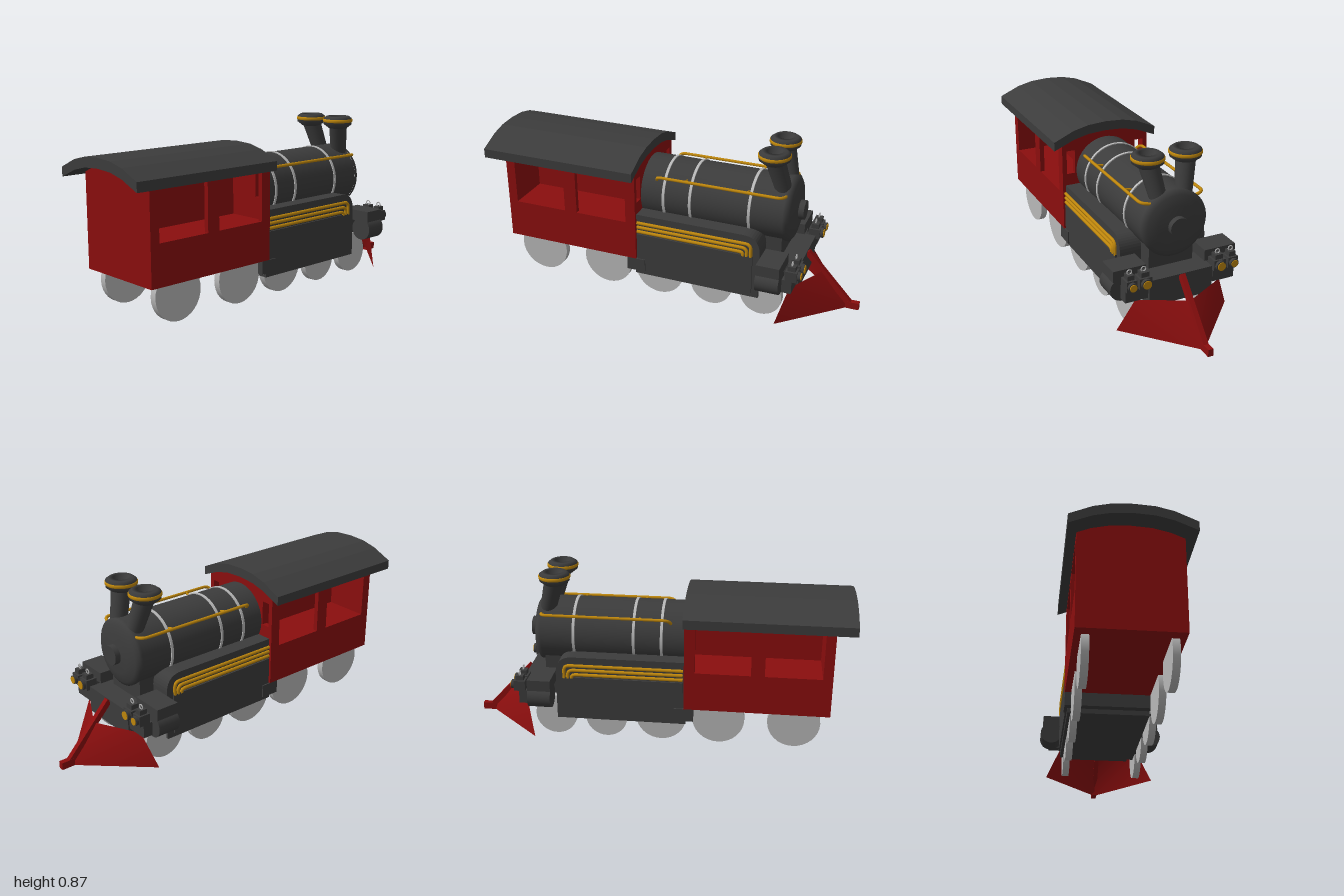
import * as THREE from 'three';

const mat = (name, color) => Object.assign(new THREE.MeshStandardMaterial({ color }), { name });

export function createModel() {
  const root = new THREE.Group();
  root.name = 'steamLocomotive';
  const red = mat('deepRed', 0x8b0e0e);
  const iron = mat('darkIron', 0x3c3c3c);
  const gold = mat('brass', 0xbf870c);
  const silver = mat('lightSteel', 0xb8b8b8);
  const redSheet = mat('redSheet', 0x8b0e0e);
  redSheet.side = THREE.DoubleSide;

  const add = (name, geo, m) => {
    const mesh = new THREE.Mesh(geo, m);
    mesh.name = name;
    root.add(mesh);
    return mesh;
  };
  // box given by its minimum and maximum corners
  const box = (name, m, x0, x1, y0, y1, z0, z1) => {
    const b = add(name, new THREE.BoxGeometry(x1 - x0, y1 - y0, z1 - z0), m);
    b.position.set((x0 + x1) / 2, (y0 + y1) / 2, (z0 + z1) / 2);
    return b;
  };
  // the same box on both sides
  const boxPair = (name, m, x0, x1, ...r) => {
    box(name, m, x0, x1, ...r);
    box(name, m, -x1, -x0, ...r);
  };
  // cylinder along z
  const cylZ = (name, m, r, x, y, z0, z1, seg = 32) => {
    const c = add(name, new THREE.CylinderGeometry(r, r, z1 - z0, seg).rotateX(Math.PI / 2), m);
    c.position.set(x, y, (z0 + z1) / 2);
    return c;
  };
  // rod between two points
  const rod = (name, m, a, b, r0, r1 = r0, seg = 16) => {
    const p = new THREE.Vector3(...a), q = new THREE.Vector3(...b), d = q.clone().sub(p);
    const c = add(name, new THREE.CylinderGeometry(r1, r0, d.length(), seg), m);
    c.position.copy(p).lerp(q, 0.5);
    c.quaternion.setFromUnitVectors(new THREE.Vector3(0, 1, 0), d.normalize());
    return c;
  };
  const extrude = (shape, depth) =>
    new THREE.ExtrudeGeometry(shape, { depth, bevelEnabled: false, curveSegments: 10 });
  const pts = (list) => list.map(([x, y]) => new THREE.Vector2(x, y));
  const mirrored = (half) => [...half, ...half.slice(0, -1).reverse().map(([x, y]) => [-x, y])];

  // cab walls: arched end panels, open sides and a central partition
  const arch = [[0.25, 0.685], [0.185, 0.71], [0.1, 0.73], [0, 0.736]];
  const endWall = () => new THREE.Shape(pts([[-0.25, 0.2], [0.25, 0.2], ...mirrored(arch)]));
  add('cabRearWall', extrude(endWall(), 0.05).translate(0, 0, 0.85), red);
  const front = endWall();
  for (const s of [-1, 1]) {
    front.holes.push(new THREE.Path(pts([
      [s * 0.178, 0.52], [s * 0.178, 0.65], [s * 0.225, 0.65], [s * 0.225, 0.52]])));
  }
  add('cabFrontWall', extrude(front, 0.03).translate(0, 0, 0.15), red);
  box('cabBase', red, -0.25, 0.25, 0.2, 0.408, 0.15, 0.9);
  box('cabPartition', red, -0.012, 0.012, 0.4, 0.73, 0.16, 0.88);
  boxPair('cabFrontPost', red, 0.225, 0.25, 0.4, 0.685, 0.15, 0.205);
  boxPair('cabMiddlePost', red, 0.225, 0.25, 0.4, 0.685, 0.49, 0.56);
  boxPair('cabWindowHeader', red, 0.225, 0.25, 0.668, 0.686, 0.16, 0.88);

  // cab roof
  const top = [[0.295, 0.712], [0.185, 0.76], [0.1, 0.78], [0, 0.786]];
  const under = [[0.295, 0.664], [0.185, 0.71], [0.1, 0.73], [0, 0.736]];
  const roof = new THREE.Shape(pts([...mirrored(top), ...mirrored(under).reverse()]));
  add('cabRoof', extrude(roof, 0.855).translate(0, 0, 0.145), iron);

  // boiler, smokebox front and door
  cylZ('boiler', iron, 0.17, 0, 0.53, -0.61, 0.16, 48);
  const door = pts([[0.172, 0], [0.172, 0.018], [0.15, 0.032], [0.1, 0.045], [0, 0.052]]);
  const doorMesh = add('smokeboxFront', new THREE.LatheGeometry(door, 48).rotateX(-Math.PI / 2), iron);
  doorMesh.position.set(0, 0.53, -0.608);
  cylZ('smokeboxHub', iron, 0.05, 0, 0.53, -0.685, -0.64, 24);
  for (const z of [0.025, -0.12, -0.435]) {
    cylZ('boilerBand', silver, 0.175, 0, 0.53, z - 0.007, z + 0.007, 48);
  }

  // twin chimneys with brass rims
  const head = pts([[0.05, -0.025], [0.078, -0.003], [0.078, 0.03], [0.062, 0.042],
    [0.04, 0.042], [0.034, -0.01], [0, -0.012]]);
  for (const s of [-1, 1]) {
    rod('chimneyNeck', iron, [s * 0.066, 0.65, -0.585], [s * 0.1, 0.825, -0.538], 0.042, 0.05, 24);
    const cap = add('chimneyCap', new THREE.LatheGeometry(head, 32), iron);
    cap.position.set(s * 0.1, 0.83, -0.535);
    const rim = add('chimneyRim', new THREE.LatheGeometry(pts([[0.077, -0.009], [0.082, -0.005],
      [0.082, 0.006], [0.077, 0.011]]), 32), gold);
    rim.position.set(s * 0.1, 0.847, -0.535);
  }

  // side tanks: profile drawn along the length, u = -z
  const tank = new THREE.Shape();
  tank.moveTo(-0.16, 0.105);
  tank.lineTo(0.52, 0.105);
  tank.lineTo(0.52, 0.37);
  tank.quadraticCurveTo(0.515, 0.455, 0.43, 0.455);
  tank.lineTo(-0.16, 0.455);
  add('sideTanks', extrude(tank, 0.468).rotateY(Math.PI / 2).translate(-0.234, 0, 0), iron);
  boxPair('tankPanel', iron, 0.225, 0.243, 0.13, 0.345, -0.485, 0.145);
  box('cabStep', iron, -0.25, 0.25, 0.13, 0.2, 0.1, 0.2);

  // brass pipes on the tanks and handrails on the boiler
  const tube = (name, points, r) => {
    const path = new THREE.CurvePath();
    const v = points.map((p) => new THREE.Vector3(...p));
    const n = v.length;
    // straight runs with rounded corners
    let from = v[0];
    for (let i = 1; i < n - 1; i++) {
      const cut = (o) => v[i].clone().add(o.clone().sub(v[i]).clampLength(0, 0.03));
      const a = cut(v[i - 1].clone().lerp(v[i], 0.4)), b = cut(v[i + 1].clone().lerp(v[i], 0.4));
      path.add(new THREE.LineCurve3(from, a));
      path.add(new THREE.QuadraticBezierCurve3(a, v[i], b));
      from = b;
    }
    path.add(new THREE.LineCurve3(from, v[n - 1]));
    add(name, new THREE.TubeGeometry(path, 64, r, 8), gold);
  };
  for (const s of [-1, 1]) {
    for (let i = 0; i < 3; i++) {
      const y = 0.41 - i * 0.025, z = -0.475 + i * 0.02;
      tube('tankPipe', [[s * 0.238, y, 0.145], [s * 0.238, y, z], [s * 0.238, 0.34, z]], 0.009);
    }
    tube('handrail', [[s * 0.135, 0.625, 0.072], [s * 0.167, 0.655, 0.06],
      [s * 0.167, 0.655, -0.6], [s * 0.11, 0.645, -0.612]], 0.008);
    for (const z of [-0.09, -0.42]) {
      rod('handrailBracket', gold, [s * 0.167, 0.655, z], [s * 0.11, 0.64, z], 0.006, 0.006, 8);
    }
  }

  // wheels
  for (const [z, r] of [[0.72, 0.136], [0.33, 0.136], [0.03, 0.132], [-0.26, 0.11], [-0.53, 0.11]]) {
    for (const s of [-1, 1]) {
      const w = add('wheel', new THREE.CylinderGeometry(r, r, 0.036, 32).rotateZ(Math.PI / 2), silver);
      w.position.set(s * 0.2, r + 0.004, z);
    }
  }

  // front beam, steam cylinders and lamps
  box('frontBeam', iron, -0.17, 0.17, 0.16, 0.3, -0.71, -0.5);
  box('smokeboxSaddle', iron, -0.12, 0.12, 0.28, 0.42, -0.6, -0.5);
  for (const s of [-1, 1]) {
    cylZ('steamCylinder', iron, 0.06, s * 0.287, 0.256, -0.65, -0.53);
    const lampXs = [[0.2, 0.032], [0.273, 0.027]];
    for (const [x, h] of lampXs) {
      const lx = s * x;
      box('lampBody', iron, lx - h, lx + h, 0.28, 0.335, -0.73, -0.67);
      box('lampCap', iron, lx - h * 0.65, lx + h * 0.65, 0.335, 0.36, -0.72, -0.68);
      cylZ('lampBezel', iron, h * 0.85, lx, 0.307, -0.745, -0.73, 20);
      cylZ('lampLens', gold, h * 0.68, lx, 0.307, -0.749, -0.744, 20);
      const loop = add('lampHandle', new THREE.TorusGeometry(0.012, 0.003, 6, 14), silver);
      loop.position.set(lx, 0.37, -0.7);
    }
    box('lampBracket', iron, s * 0.235 - 0.06, s * 0.235 + 0.06, 0.21, 0.282, -0.705, -0.655);
  }
  boxPair('valveChest', iron, 0.16, 0.333, 0.3, 0.358, -0.65, -0.53);

  // cowcatcher: two swept plates, central spine and foot
  for (const s of [-1, 1]) {
    const g = new THREE.BufferGeometry();
    g.setAttribute('position', new THREE.Float32BufferAttribute([
      0, 0.012, -0.945, s * 0.305, 0.02, -0.63, s * 0.23, 0.2, -0.68, 0, 0.2, -0.8], 3));
    g.setIndex(s > 0 ? [0, 2, 1, 0, 3, 2] : [0, 1, 2, 0, 2, 3]);
    g.computeVertexNormals();
    add('cowcatcherPlate', g, redSheet);
  }
  const a = new THREE.Vector3(0, 0.295, -0.71), b = new THREE.Vector3(0, 0.03, -0.955);
  const spine = add('cowcatcherSpine', new THREE.BoxGeometry(0.026, 0.03, a.distanceTo(b)), red);
  spine.position.copy(a).lerp(b, 0.5);
  spine.lookAt(b);
  box('cowcatcherFoot', red, -0.014, 0.014, 0.012, 0.05, -1, -0.93);

  return root;
}
